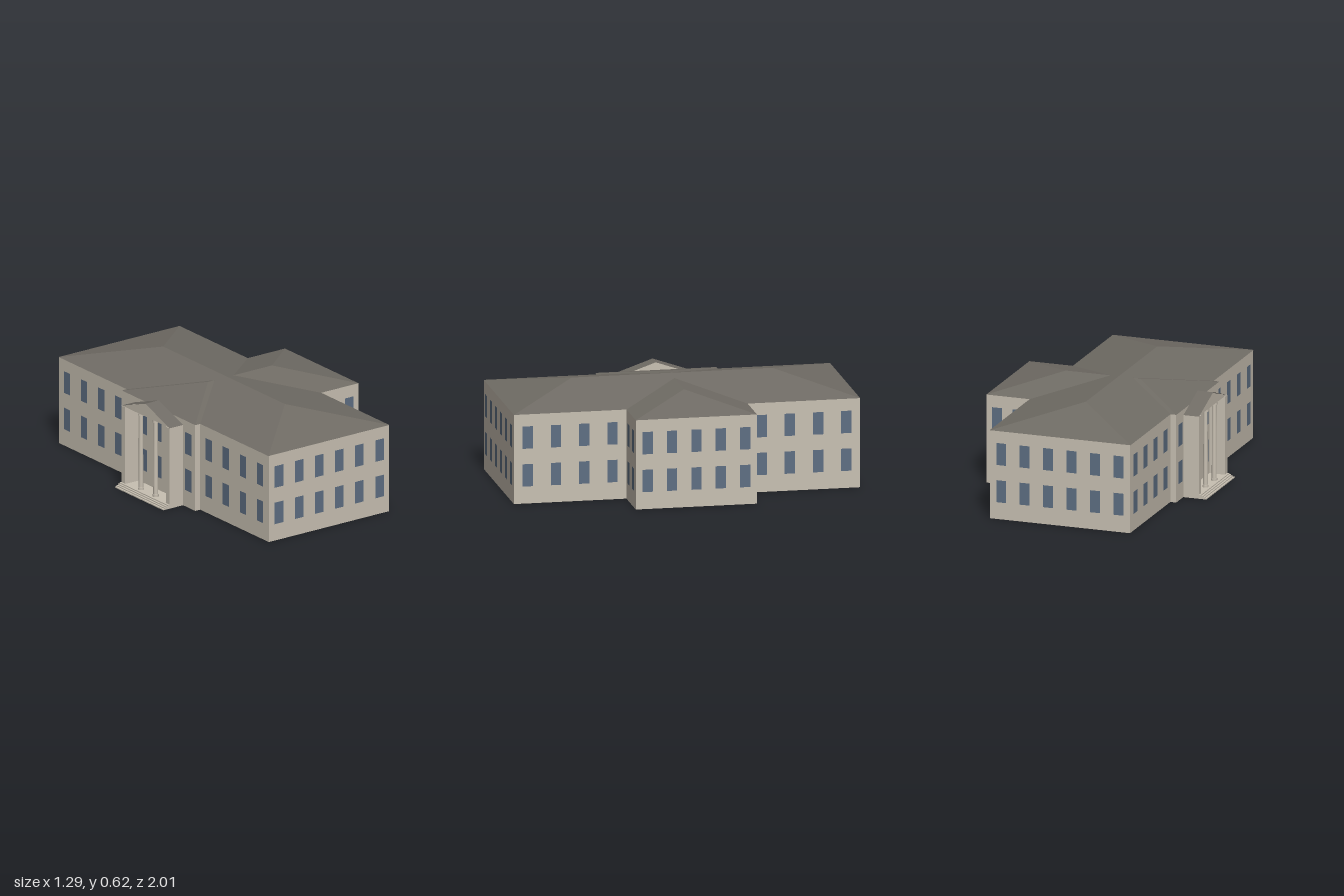
import * as THREE from 'three';

const wallMat = new THREE.MeshStandardMaterial({ name: 'stone wall', color: 0xc8c0b2, side: THREE.DoubleSide });
const roofMat = new THREE.MeshStandardMaterial({ name: 'slate roof', color: 0x706c65, side: THREE.DoubleSide });
const glassMat = new THREE.MeshStandardMaterial({ name: 'window glass', color: 0x5d6e82 });

const EAVE = 0.52;

function add(parent, name, geometry, material, x = 0, y = 0, z = 0) {
  const mesh = new THREE.Mesh(geometry, material);
  mesh.name = name;
  mesh.position.set(x, y, z);
  parent.add(mesh);
  return mesh;
}

// Flat-faced surface from a list of convex polygons, each a loop of [x, y, z]
function faces(polygons) {
  const pos = [];
  for (const p of polygons) {
    for (let i = 1; i < p.length - 1; i++) pos.push(...p[0], ...p[i], ...p[i + 1]);
  }
  const g = new THREE.BufferGeometry();
  g.setAttribute('position', new THREE.Float32BufferAttribute(pos, 3));
  g.computeVertexNormals();
  return g;
}

// Box between two corners
function block(parent, name, x0, x1, y0, y1, z0, z1, material) {
  add(parent, name, new THREE.BoxGeometry(x1 - x0, y1 - y0, z1 - z0), material,
    (x0 + x1) / 2, (y0 + y1) / 2, (z0 + z1) / 2);
}

// Hip roof over a rectangle; the ridge runs along the given axis from r0 to r1
function hipRoof(x0, x1, z, ridgeY, axis, r0, r1) {
  const a = [x0, EAVE, z], b = [x1, EAVE, z], c = [x1, EAVE, -z], d = [x0, EAVE, -z];
  if (axis === 'x') {
    const p = [r0, ridgeY, 0], q = [r1, ridgeY, 0];
    return faces([[a, b, q, p], [b, c, q], [c, d, p, q], [d, a, p]]);
  }
  const m = (x0 + x1) / 2, p = [m, ridgeY, r1], q = [m, ridgeY, r0];
  return faces([[a, b, p], [b, c, q, p], [c, d, q], [d, a, p, q]]);
}

export function createModel() {
  const model = new THREE.Group();
  model.name = 'building';

  // Outer walls: one cross-shaped outline, open inside, counter-clockwise from above
  const outline = [
    [-0.47, 1], [0.375, 1], [0.375, 0.35], [0.64, 0.35], [0.64, -0.35], [0.375, -0.35],
    [0.375, -1], [-0.47, -1], [-0.47, -0.345], [-0.505, -0.345], [-0.505, 0.345], [-0.47, 0.345],
  ];
  const walls = outline.map(([x, z], i) => {
    const [u, w] = outline[(i + 1) % outline.length];
    return [[x, 0, z], [u, 0, w], [u, EAVE, w], [x, EAVE, z]];
  });
  add(model, 'outerWalls', faces(walls), wallMat);

  // Main hip roof and the lower cross roof
  add(model, 'mainRoof', hipRoof(-0.473, 0.378, 1, 0.615, 'z', -0.58, 0.58), roofMat);
  add(model, 'crossRoof', hipRoof(-0.508, 0.64, 0.35, 0.6, 'x', -0.16, 0.29), roofMat);

  // Windows in two storeys
  const windows = new THREE.Group();
  windows.name = 'windows';
  model.add(windows);
  const pane = new THREE.PlaneGeometry(0.06, 0.13);
  const windowPair = (x, z, turn) => {
    for (const y of [0.165, 0.385]) add(windows, 'window', pane, glassMat, x, y, z).rotation.y = turn;
  };
  const off = 0.003;
  for (const s of [1, -1]) {
    const turn = s > 0 ? 0 : Math.PI;
    // End walls and the flanks of the side wing
    for (let i = 0; i < 6; i++) windowPair(-0.401 + i * 0.1415, s * (1 + off), turn);
    for (const x of [0.449, 0.573]) windowPair(x, s * (0.35 + off), turn);
    // Long walls on both sides
    for (let i = 0; i < 4; i++) {
      const z = s * (0.431 + i * 0.163);
      windowPair(0.375 + off, z, Math.PI / 2);
      windowPair(-0.47 - off, z, -Math.PI / 2);
    }
  }
  for (let i = -2; i <= 2; i++) {
    windowPair(0.64 + off, i * 0.141, Math.PI / 2);
    windowPair(-0.505 - off, i * 0.141, -Math.PI / 2);
  }

  // Entrance portico
  const portico = new THREE.Group();
  portico.name = 'portico';
  model.add(portico);
  const front = -0.6, back = -0.506, half = 0.23, eave = 0.485, peak = 0.565;
  block(portico, 'floor', front, back, 0, 0.024, -half + 0.04, half - 0.04, wallMat);
  for (const s of [1, -1]) {
    const z0 = s > 0 ? half - 0.035 : -half;
    block(portico, 'sideWall', front, back, 0, eave, z0, z0 + 0.035, wallMat);
    add(portico, 'column', new THREE.CylinderGeometry(0.012, 0.014, eave - 0.024, 16), wallMat,
      front + 0.02, (eave + 0.024) / 2, s * 0.07);
    for (const [y, r] of [[0.031, 0.018], [eave - 0.007, 0.018]]) {
      add(portico, 'columnCollar', new THREE.CylinderGeometry(r, r, 0.014, 16), wallMat, front + 0.02, y, s * 0.07);
    }
  }

  // Pediment and gable roof, open towards the building
  add(portico, 'pediment', faces([[
    [front + 0.004, eave, -half], [front + 0.004, eave, half], [front + 0.004, peak - 0.004, 0],
  ]]), wallMat);
  add(portico, 'porticoRoof', faces([1, -1].map((s) => [
    [front, eave, s * half], [back, eave, s * half], [back, peak, 0], [front, peak, 0],
  ].slice()).map((p, i) => (i ? p.reverse() : p))), roofMat);

  // Entrance steps
  for (let i = 0; i < 4; i++) {
    block(portico, 'step', -0.645 + i * 0.011, front, i * 0.006, (i + 1) * 0.006, -half, half, wallMat);
  }
  return model;
}
